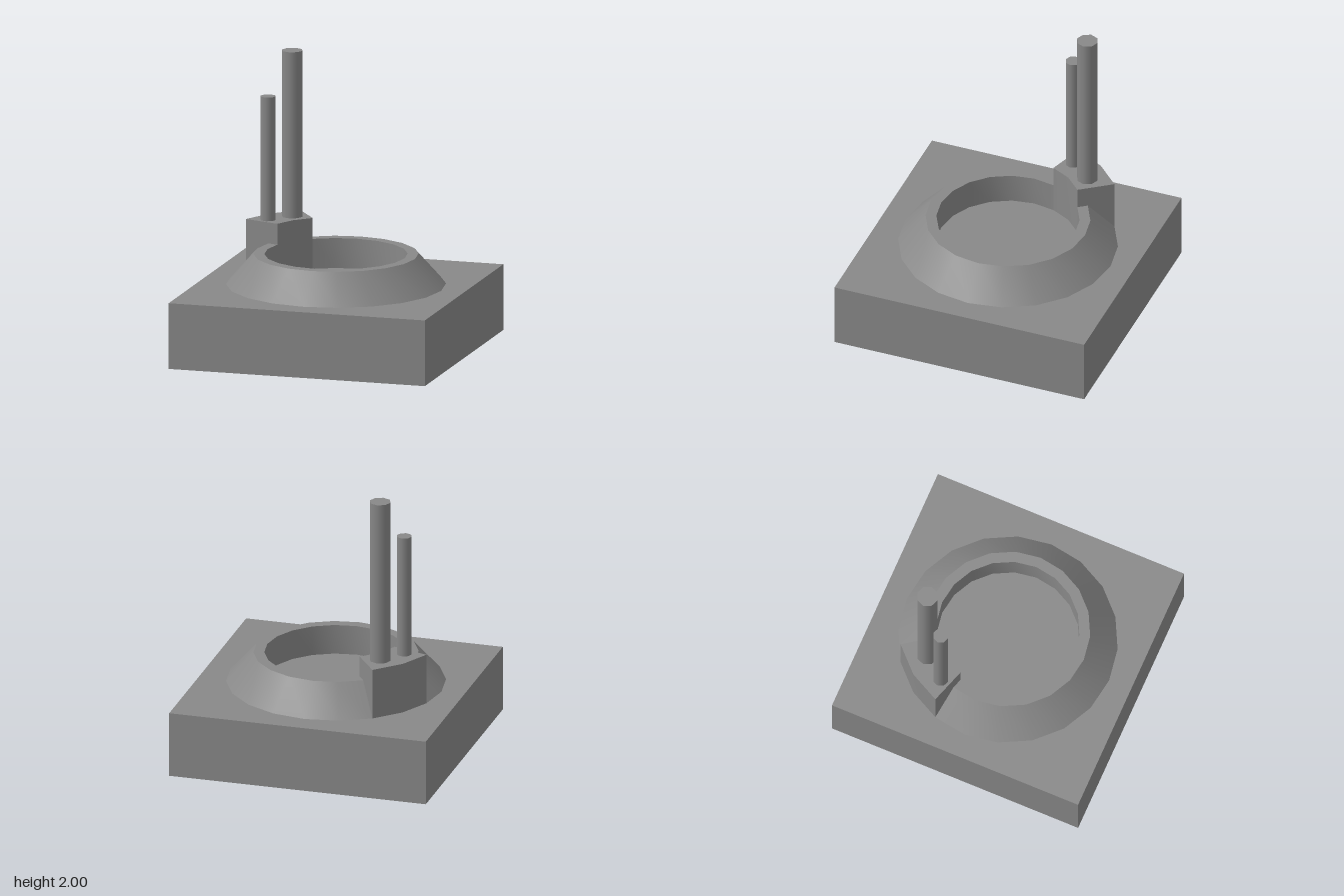
import * as THREE from 'three';
import { toCreasedNormals } from 'three/addons/utils/BufferGeometryUtils.js';

const BASE_H = 0.465, OUTER_R = 0.76, RIM_R = 0.57, INNER_R = 0.495;
const RIM_Y = 0.677, BLOCK_Y = 0.825;
const deg = THREE.MathUtils.degToRad;

export function createModel() {
  const group = new THREE.Group();
  const material = new THREE.MeshStandardMaterial({ color: 0x888888 });
  const add = (name, geometry, x = 0, y = 0, z = 0) => {
    const mesh = new THREE.Mesh(geometry, material);
    mesh.name = name;
    mesh.position.set(x, y, z);
    group.add(mesh);
  };

  // Square slab
  add('base', new THREE.BoxGeometry(1.85, BASE_H, 1.85), 0, BASE_H / 2, 0);

  // Sloped 20-sided ring wall, left open where the block stands
  const profile = [[OUTER_R, BASE_H], [RIM_R, RIM_Y], [INNER_R, RIM_Y], [INNER_R, BASE_H]]
    .map(([r, y]) => new THREE.Vector2(r, y));
  const ring = new THREE.LatheGeometry(profile, 18, deg(252), deg(324));
  add('ringWall', toCreasedNormals(ring, deg(30)));

  // Raised block filling two sides of the ring
  const corner = (r, a) => new THREE.Vector2(-r * Math.cos(deg(a)), r * Math.sin(deg(a)));
  const angles = [18, 36, 54];
  const outline = new THREE.Shape([
    ...angles.map((a) => corner(OUTER_R, a)),
    ...angles.slice().reverse().map((a) => corner(INNER_R, a)),
  ]);
  const block = new THREE.ExtrudeGeometry(outline, { depth: BLOCK_Y - BASE_H, bevelEnabled: false });
  block.rotateX(-Math.PI / 2);
  add('chimneyBlock', toCreasedNormals(block, deg(30)), 0, BASE_H, 0);

  // Two octagonal chimneys on the block
  const chimney = (name, r, top, x, z) =>
    add(name, new THREE.CylinderGeometry(r, r, top - BLOCK_Y, 8), x, (top + BLOCK_Y) / 2, z);
  chimney('tallChimney', 0.075, 2, -0.443, -0.415);
  chimney('shortChimney', 0.054, 1.7, -0.57, -0.26);

  return group;
}
